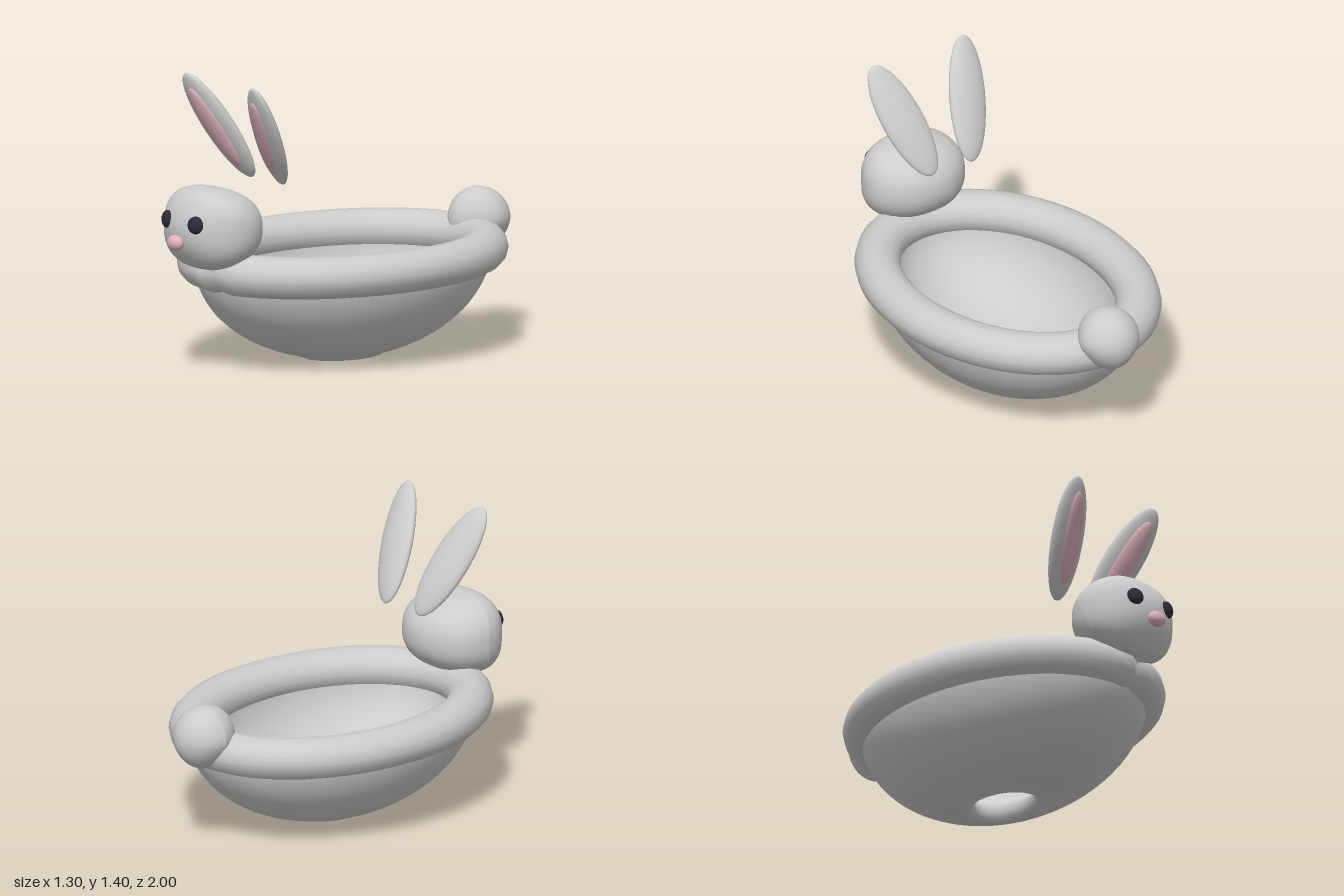
import * as THREE from 'three';

const material = (name, color) => new THREE.MeshStandardMaterial({ name, color });

// Oval loft of a closed profile of [radius, extra length in z, height]
function ovalLoft(profile, segments, dent = () => 0) {
  const pos = [], index = [], n = profile.length;
  for (let i = 0; i < segments; i++) {
    const a = (i / segments) * Math.PI * 2;
    for (const [r, extra, y] of profile) {
      const q = r - dent(i, r);
      pos.push(q * Math.cos(a), y, (q + extra) * Math.sin(a));
    }
    for (let j = 0; j < n; j++) {
      const i2 = (i + 1) % segments, j2 = (j + 1) % n;
      const A = i * n + j, B = i * n + j2, C = i2 * n + j2, D = i2 * n + j;
      index.push(A, B, C, A, C, D);
    }
  }
  const g = new THREE.BufferGeometry();
  g.setAttribute('position', new THREE.Float32BufferAttribute(pos, 3));
  g.setIndex(index);
  g.computeVertexNormals();
  return g;
}

// Sphere scaled to radii, with an optional rule that moves its unit vertices
function blob(rx, ry, rz, rule) {
  const g = new THREE.SphereGeometry(1, 32, 24);
  if (rule) {
    const p = g.attributes.position, v = new THREE.Vector3();
    for (let i = 0; i < p.count; i++) {
      rule(v.fromBufferAttribute(p, i));
      p.setXYZ(i, v.x, v.y, v.z);
    }
  }
  g.scale(rx, ry, rz);
  if (rule) g.computeVertexNormals();
  return g;
}

export function createModel() {
  const model = new THREE.Group();
  model.name = 'rabbitBowl';
  const grey = material('softGrey', 0xcccccc);
  const pink = material('pink', 0xdeb2bd);
  const dark = material('eyeDark', 0x2c2c36);

  const add = (name, geometry, mat, x, y, z, parent = model) => {
    const mesh = new THREE.Mesh(geometry, mat);
    mesh.name = name;
    mesh.position.set(x, y, z);
    parent.add(mesh);
    return mesh;
  };

  // Thick oval bowl with a rounded drain hole
  const shell = [];
  const steps = 18;
  for (let i = 0; i <= steps; i++) {
    const t = 0.3 + (1.5 - 0.3) * (i / steps);
    const r = 0.565 * Math.sin(t);
    shell.push([r, 0.37 * r, 0.49 - 0.495 * Math.cos(t)]);
  }
  for (let i = 0; i <= steps; i++) {
    const t = 1.5 - (1.5 - 0.38) * (i / steps);
    const r = 0.455 * Math.sin(t);
    shell.push([r, 0.47 * r, 0.49 - 0.4 * Math.cos(t)]);
  }
  shell.push([0.142, 0.066, 0.105], [0.122, 0.06, 0.09], [0.112, 0.056, 0.068],
    [0.112, 0.055, 0.04], [0.121, 0.055, 0.016], [0.138, 0.055, 0.002], [0.15, 0.056, 0.003]);
  add('bowl', ovalLoft(shell, 64), grey, 0, 0, -0.035);

  // Padded rim with an upright crease below the head
  const tube = [];
  for (let i = 0; i < 14; i++) {
    const a = (i / 14) * Math.PI * 2;
    tube.push([0.54 + 0.11 * Math.cos(a), 0.203, 0.4865 + 0.1 * Math.sin(a)]);
  }
  const crease = (i, r) => (i === 15 && r > 0.54 ? 0.03 : 0);
  add('rim', ovalLoft(tube, 64, crease), grey, 0, 0, -0.035);

  // Head: boxy from the front, round from above, cheeks and chin pushed forward
  const square = (v) => {
    const n = 2.5;
    const flat = (Math.abs(v.x) ** n + Math.abs(v.y) ** n) ** (2 / n);
    v.multiplyScalar((flat + v.z * v.z) ** -0.5);
    v.z += 0.22 * v.y * v.y * (1 - v.z * v.z);
  };
  add('head', blob(0.26, 0.196, 0.215, square), grey, 0, 0.708, 0.74);
  add('neck', blob(0.11, 0.1, 0.08), grey, 0, 0.53, 0.72);
  add('nose', blob(0.05, 0.037, 0.033), pink, 0, 0.655, 0.967);

  for (const s of [1, -1]) {
    const side = s > 0 ? 'left' : 'right';
    const eye = add(side + 'Eye', blob(0.042, 0.042, 0.026), dark, s * 0.107, 0.75, 0.93);
    eye.rotation.set(-0.1, s * 0.3, 0);

    // Flat ear leaning forward and outward
    const ear = new THREE.Group();
    ear.name = side + 'Ear';
    const up = new THREE.Vector3(s * 0.15, 0.5, 0.28).normalize();
    const across = new THREE.Vector3(up.y, -up.x, 0).normalize();
    const out = new THREE.Vector3().crossVectors(across, up);
    ear.quaternion.setFromRotationMatrix(new THREE.Matrix4().makeBasis(across, up, out));
    ear.position.set(s * 0.186, 1.145, 0.56);
    model.add(ear);
    add(side + 'EarOuter', blob(0.104, 0.3, 0.042), grey, 0, 0, 0, ear);
    add(side + 'EarInner', blob(0.06, 0.225, 0.026), pink, 0, 0.005, 0.028, ear);
  }

  // Round tail, narrowing toward the rim and slightly toward its base
  const taper = (v) => {
    v.x *= (1 - 0.22 * Math.max(0, v.z)) * (1 - 0.25 * Math.max(0, -v.y));
  };
  add('tail', blob(0.152, 0.152, 0.155, taper), grey, 0, 0.563, -0.845);

  return model;
}
